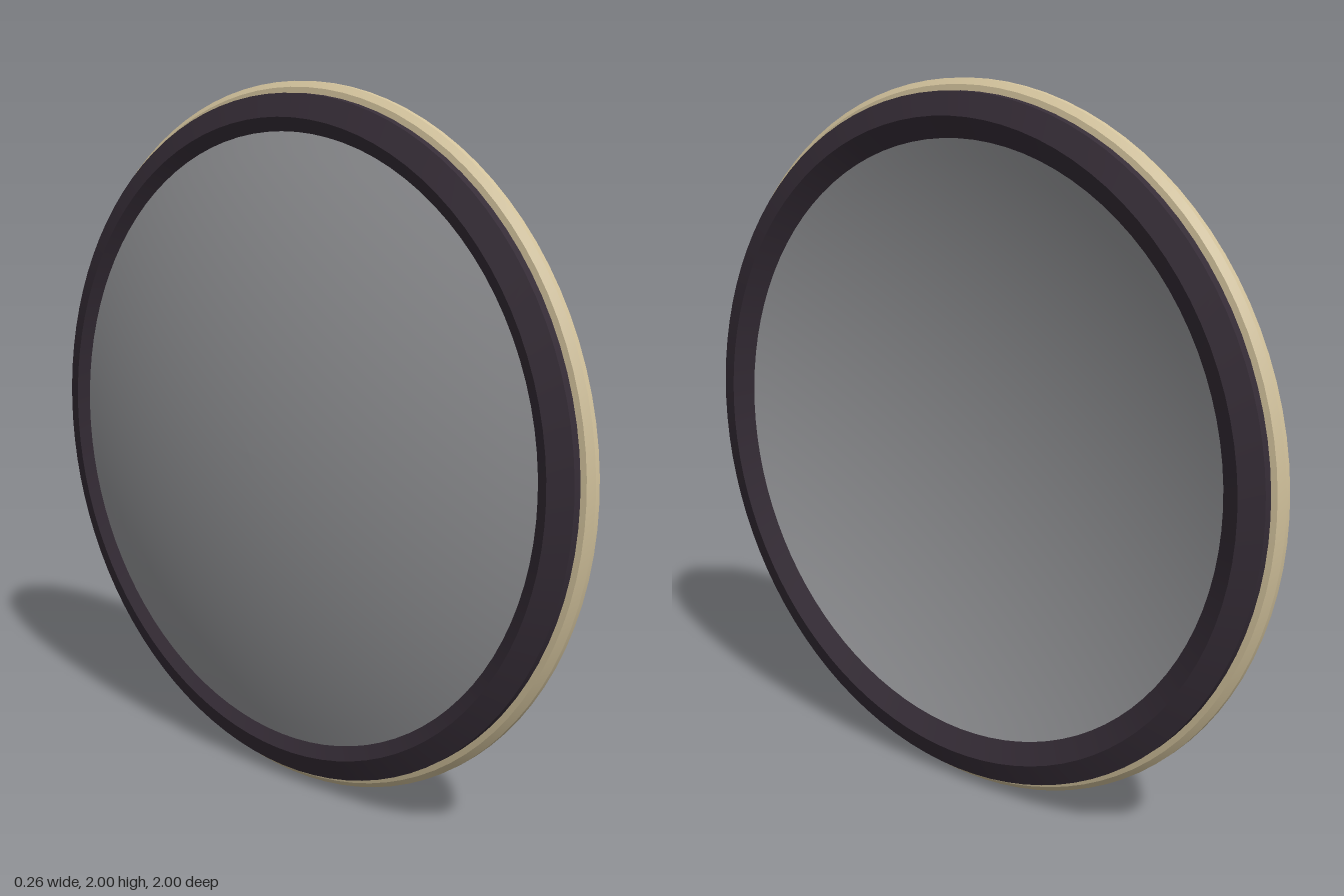
import * as THREE from 'three';
import { toCreasedNormals } from 'three/addons/utils/BufferGeometryUtils.js';

const SEGMENTS = 96;

// Revolves a [radius, x] profile around the x axis
function revolve(name, profile, material, crease) {
  const points = profile.map(([r, x]) => new THREE.Vector2(r, x));
  let geometry = new THREE.LatheGeometry(points, SEGMENTS);
  if (crease) geometry = toCreasedNormals(geometry, crease);
  geometry.rotateZ(-Math.PI / 2);
  const mesh = new THREE.Mesh(geometry, material);
  mesh.name = name;
  mesh.position.y = 1;
  return mesh;
}

// Spherical cap profile from the axis out to the edge radius
function capProfile(centreX, edge) {
  const R = 2.98, steps = 16;
  return Array.from({ length: steps + 1 }, (_, i) => {
    const r = (edge * i) / steps;
    return [r, centreX + R - Math.sqrt(R * R - r * r)];
  });
}

export function createModel() {
  const rimDark = new THREE.MeshStandardMaterial({ color: 0x362d37 });
  rimDark.name = 'dark rim';
  const brass = new THREE.MeshStandardMaterial({ color: 0xd2c29c });
  brass.name = 'pale brass';
  const glass = new THREE.MeshStandardMaterial({ color: 0x97989b, side: THREE.DoubleSide });
  glass.name = 'grey glass';

  const group = new THREE.Group();
  group.name = 'lens';

  // Ring frame, ridged on both faces and sloping in to the glass
  group.add(revolve('rim', [
    [0.867, 0], [0.905, -0.02], [0.968, 0.005],
    [0.968, 0.105], [0.905, 0.127], [0.845, 0.093], [0.867, 0],
  ], rimDark, 0.25));

  // Bevelled band around the outside
  group.add(revolve('outerBand', [
    [0.955, 0.028], [0.984, 0.032], [1, 0.047],
    [1, 0.063], [0.984, 0.078], [0.955, 0.082],
  ], brass, 0.25));

  // Lens faces: convex towards -x, hollow towards +x
  group.add(revolve('convexGlass', capProfile(-0.13, 0.867), glass));
  group.add(revolve('concaveGlass', capProfile(-0.029, 0.846), glass));

  return group;
}
